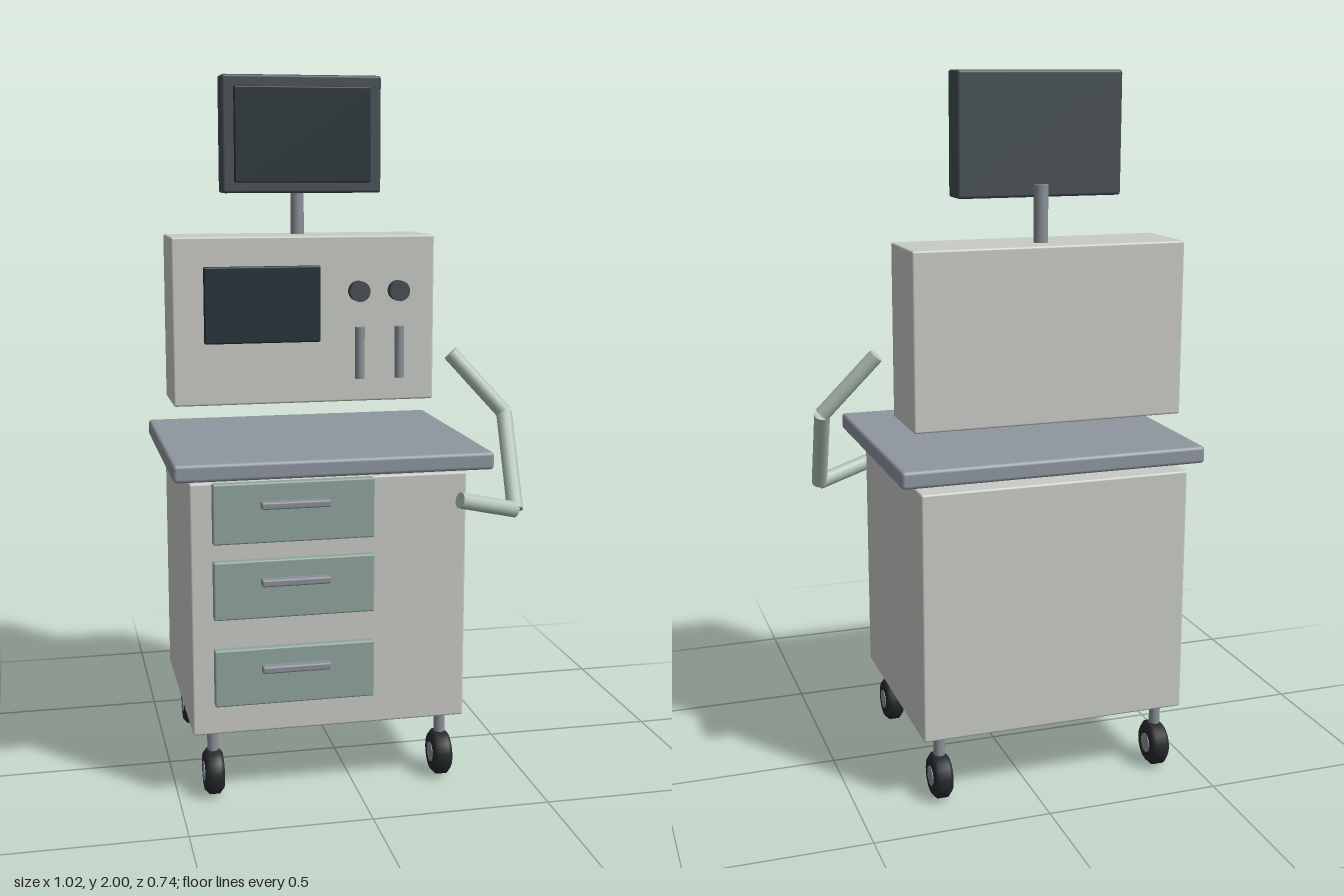
import * as THREE from 'three';
import { RoundedBoxGeometry } from 'three/addons/geometries/RoundedBoxGeometry.js';

const mat = (color) => new THREE.MeshStandardMaterial({ color });

export function createModel() {
  const group = new THREE.Group();
  const shell = mat(0xc9cbc6), slate = mat(0x8e969f), green = mat(0x8fa59d);
  const dark = mat(0x434c51), glass = mat(0x202e34), metal = mat(0x8a9096);
  const rubber = mat(0x25292b), armPaint = mat(0xb1c3b9);

  const add = (name, geometry, material, parent = group) => {
    const mesh = new THREE.Mesh(geometry, material);
    mesh.name = name;
    parent.add(mesh);
    return mesh;
  };
  // Rounded box given by its limits on each axis
  const box = (name, [x0, x1], [y0, y1], [z0, z1], material, r = 0.006, parent = group) => {
    const mesh = add(name, new RoundedBoxGeometry(x1 - x0, y1 - y0, z1 - z0, 2, r), material, parent);
    mesh.position.set((x0 + x1) / 2, (y0 + y1) / 2, (z0 + z1) / 2);
    return mesh;
  };
  // Round rod between two points
  const rod = (name, from, to, r, material, parent = group, sides = 20) => {
    const a = new THREE.Vector3(...from), b = new THREE.Vector3(...to);
    const dir = b.clone().sub(a);
    const mesh = add(name, new THREE.CylinderGeometry(r, r, dir.length(), sides), material, parent);
    mesh.position.copy(a).add(b).multiplyScalar(0.5);
    mesh.quaternion.setFromUnitVectors(new THREE.Vector3(0, 1, 0), dir.normalize());
    return mesh;
  };

  // Main bodies
  box('cabinet', [-0.46, 0.316], [0.19, 0.903], [-0.35, 0.285], shell);
  box('worktop', [-0.51, 0.37], [0.923, 0.972], [-0.357, 0.368], slate, 0.01);
  box('controlUnit', [-0.46, 0.316], [1.055, 1.543], [-0.288, -0.067], shell);

  // Drawers with pull handles
  [[0.735, 0.903, 0.843], [0.523, 0.687, 0.628], [0.276, 0.438, 0.382]].forEach(([y0, y1, handleY]) => {
    const drawer = new THREE.Group();
    drawer.name = 'drawer';
    group.add(drawer);
    box('drawerFront', [-0.4, 0.048], [y0, y1], [0.28, 0.308], green, 0.005, drawer);
    box('drawerHandle', [-0.271, -0.08], [handleY - 0.01, handleY + 0.01], [0.305, 0.335], metal, 0.005, drawer);
  });

  // Control panel: display, knobs and flow tubes
  box('panelDisplay', [-0.37, -0.029], [1.236, 1.458], [-0.068, -0.051], glass, 0.005);
  for (const x of [0.083, 0.202]) {
    rod('knob', [x, 1.383, -0.056], [x, 1.383, -0.023], 0.03, dark, group, 24);
    rod('flowTube', [x, 1.128, -0.029], [x, 1.28, -0.029], 0.014, metal);
  }

  // Monitor on its post
  rod('monitorPost', [-0.07, 1.54, -0.2], [-0.07, 1.7, -0.2], 0.02, metal);
  box('monitor', [-0.304, 0.164], [1.665, 2], [-0.199, -0.112], dark, 0.008);
  box('monitorScreen', [-0.27, 0.13], [1.695, 1.967], [-0.118, -0.1], glass, 0.004);

  // Jointed breathing arm, at the model's left
  const joints = [[0.333, 1.207, 0.056], [0.484, 1.035, 0.104], [0.464, 0.785, 0.275], [0.288, 0.83, 0.318]];
  for (let i = 0; i < 3; i++) rod('armSegment', joints[i], joints[i + 1], 0.023, armPaint, group, 12);

  // Casters
  const tyreProfile = [[0.024, -0.026], [0.052, -0.026], [0.065, -0.014], [0.065, 0.014], [0.052, 0.026], [0.024, 0.026]]
    .map(([r, y]) => new THREE.Vector2(r, y));
  const tyre = new THREE.LatheGeometry(tyreProfile, 28);
  for (const x of [-0.4, 0.26]) for (const z of [0.237, -0.304]) {
    const caster = new THREE.Group();
    caster.name = 'caster';
    caster.position.set(x, 0.065, z);
    group.add(caster);
    add('tyre', tyre, rubber, caster).rotation.z = Math.PI / 2;
    rod('hub', [-0.028, 0, 0], [0.028, 0, 0], 0.028, metal, caster);
    rod('stem', [0, 0.05, 0], [0, 0.13, 0], 0.016, metal, caster);
  }
  return group;
}
